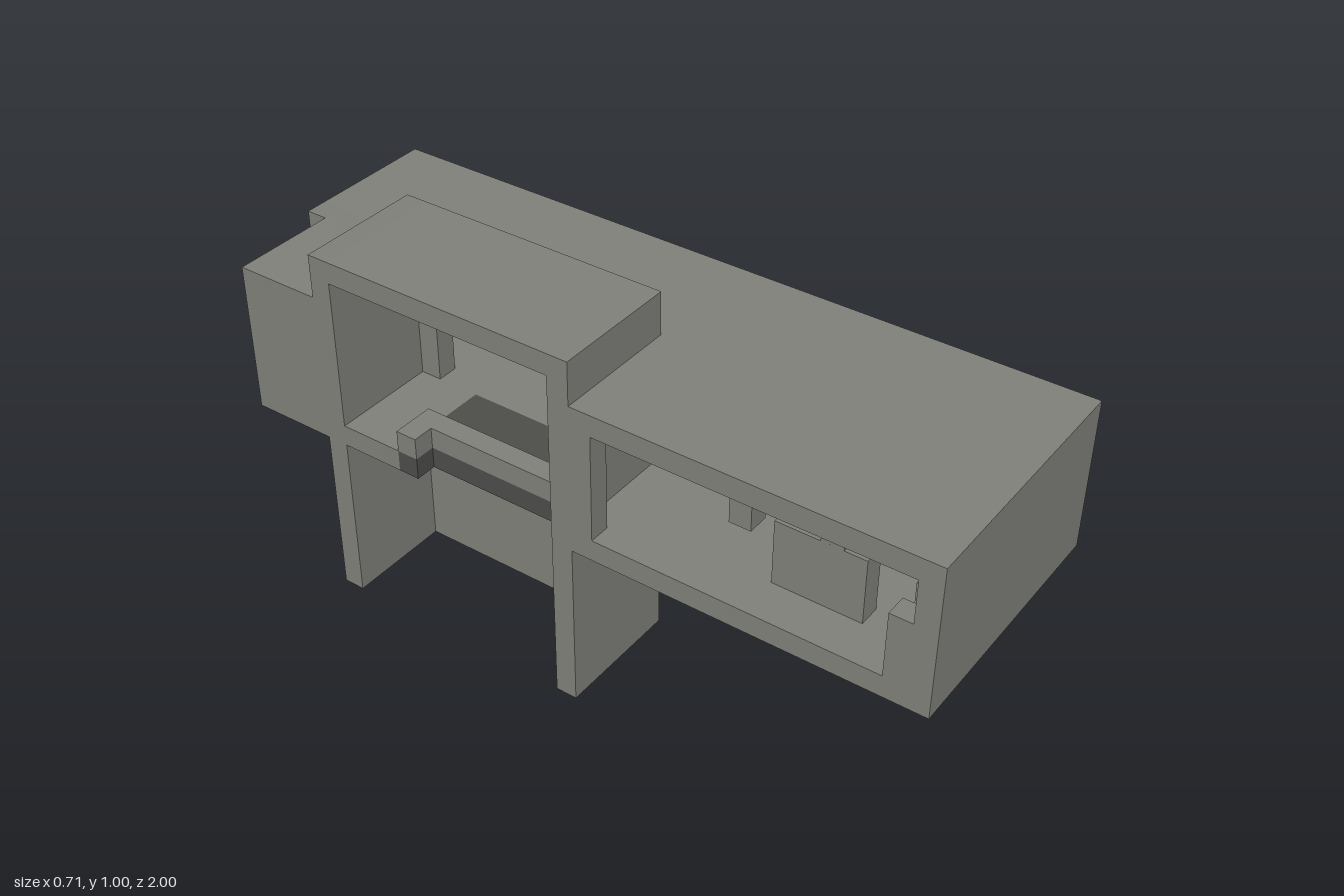
import * as THREE from 'three';

// one block of the modelling grid
const U = 2 / 34;

export function createModel() {
  const model = new THREE.Group();
  model.name = 'blockBuilding';

  const grey = new THREE.MeshStandardMaterial({ color: 0x7f7f79 });
  grey.name = 'warm grey';
  const dark = new THREE.MeshStandardMaterial({ color: 0x4c4c49 });
  dark.name = 'dark grey';

  // box given by its limits in grid blocks
  const box = (name, [x0, x1], [y0, y1], [z0, z1], material = grey) => {
    const geo = new THREE.BoxGeometry((x1 - x0) * U, (y1 - y0) * U, (z1 - z0) * U);
    const mesh = new THREE.Mesh(geo, material);
    mesh.position.set((x0 + x1) / 2 * U, (y0 + y1) / 2 * U, (z0 + z1) / 2 * U);
    mesh.name = name;
    model.add(mesh);
  };

  // floor and ceiling slabs of the long hall, leaving the shaft open
  for (const [name, y] of [['floor', [8, 9]], ['ceiling', [14, 15]]]) {
    box(name + 'Main', [0, 6], y, [-17, 17]);
    box(name + 'Front', [-6, 0], y, [1, 17]);
    box(name + 'Back', [-6, 0], y, [-16, -12]);
    box(name + 'BackStep', [-1, 0], y, [-17, -16]);
  }

  // hall outer walls
  const wallY = [9, 14];
  box('leftWall', [5, 6], wallY, [-17, 17]);
  box('frontWall', [-6, 5], wallY, [16, 17]);
  box('backWall', [-1, 5], wallY, [-17, -16]);
  box('backWallInset', [-6, -1], wallY, [-16, -15]);
  box('rightWallBack', [-6, -5], wallY, [-15, -12]);

  // frame around the open side window
  box('windowPostBack', [-6, -5], wallY, [1, 2]);
  box('windowPostFront', [-6, -5], [9, 12], [15, 16]);

  // tower: three walls and a roof, open on the right side and below
  box('towerFrontWall', [-6, 0], [0, 17], [0, 1]);
  box('towerBackWall', [-6, 0], [0, 17], [-12, -11]);
  box('towerRoof', [-6, 0], [16, 17], [-11, 0]);
  box('towerLowerWall', [-1, 0], [0, 9], [-11, 0]);
  box('towerUpperWall', [-1, 0], [14, 16], [-11, 0]);
  box('doorwayFront', [-1, 0], wallY, [-3, 0]);
  box('doorwayBack', [-1, 0], wallY, [-11, -10]);
  box('doorPanel', [-1.1, -1], [9, 13], [-2, -1], dark);

  // landing inside the tower, with its rail and bench
  box('landing', [-6, -1], [8, 9], [-11, -8]);
  box('landingEdge', [-5, -1], [8, 9], [-8, 0], dark);
  box('landingCorner', [-6, -5], [8, 9], [-8, -7], dark);
  box('railCross', [-6, -4], [9, 10], [-8, -7]);
  box('railLong', [-5, -4], [9, 10], [-7, 0]);
  box('benchSeat', [-3, -1], [9, 10], [-2, -1]);
  box('benchSide', [-2, -1], [9, 10], [-1, 0]);

  // furniture in the hall
  box('counter', [-4, -3], [9, 12], [9, 13]);
  box('counterTop', [-4, -3], [12, 13], [11, 12]);
  box('pillar', [-4, -3], [9, 12], [15, 16]);
  box('hangingBlock', [-4, -3], [11, 14], [7, 8]);

  // small block under the rear floor
  box('undersideBlock', [-4, -2], [7, 8], [-15, -13]);

  return model;
}
